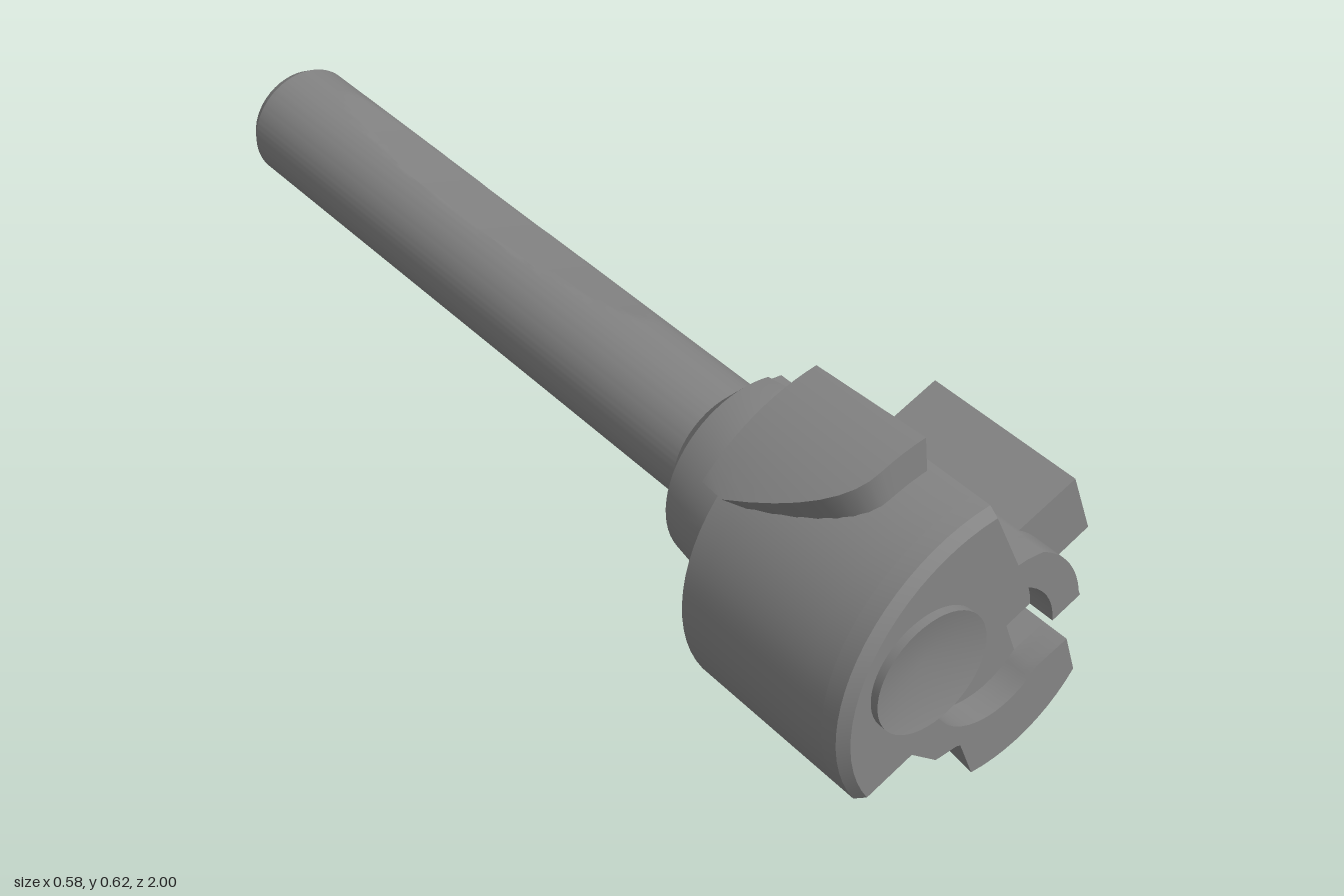
import * as THREE from 'three';
import { toCreasedNormals } from 'three/addons/utils/BufferGeometryUtils.js';

const CX = 0.017, CY = 0.243; // tool axis
const RAD = Math.PI / 180;
const mat = new THREE.MeshStandardMaterial({ color: 0x848484, side: THREE.DoubleSide });

// points on an arc, angles in degrees
function arc(r, a0, a1, n, cx = CX, cy = CY) {
  const pts = [];
  for (let i = 0; i <= n; i++) {
    const a = (a0 + (a1 - a0) * i / n) * RAD;
    pts.push([cx + r * Math.cos(a), cy + r * Math.sin(a)]);
  }
  return pts;
}

// move vertices by rule(radius, angle in degrees, z) -> [radius, angle, z] about the tool axis
function reshape(geo, rule) {
  const p = geo.attributes.position;
  for (let i = 0; i < p.count; i++) {
    const x = p.getX(i) - CX, y = p.getY(i) - CY;
    const [r, a, z] = rule(Math.hypot(x, y), Math.atan2(y, x) / RAD, p.getZ(i));
    p.setXYZ(i, CX + r * Math.cos(a * RAD), CY + r * Math.sin(a * RAD), z);
  }
  return geo;
}

function add(group, name, geo, crease = 0.5) {
  geo.deleteAttribute('normal');
  geo.deleteAttribute('uv');
  const mesh = new THREE.Mesh(toCreasedNormals(geo, crease), mat);
  mesh.name = name;
  group.add(mesh);
}

function prism(points, z0, z1, steps = 1) {
  const shape = new THREE.Shape(points.map(([x, y]) => new THREE.Vector2(x, y)));
  const geo = new THREE.ExtrudeGeometry(shape, { depth: z1 - z0, steps, bevelEnabled: false });
  return geo.translate(0, 0, z0);
}

// lathe profile of [radius, z], turned about an axis along z
function turned(profile, cx = CX, cy = CY) {
  const geo = new THREE.LatheGeometry(profile.map(([r, z]) => new THREE.Vector2(r, z)), 48);
  return geo.rotateX(Math.PI / 2).translate(cx, cy, 0);
}

// block bent round the tool axis; front(angle) gives its front z
function bentBlock(a0, a1, r0, r1, z0, front) {
  const geo = new THREE.BoxGeometry(1, 1, 1, 12, 1, 1);
  const p = geo.attributes.position;
  for (let i = 0; i < p.count; i++) {
    const a = a1 + (a0 - a1) * (p.getX(i) + 0.5);
    const back = p.getZ(i) < 0;
    const r = p.getY(i) < 0 ? r0 : back ? r1 - 0.015 : r1;
    p.setXYZ(i, CX + r * Math.cos(a * RAD), CY + r * Math.sin(a * RAD), back ? z0 : front(a));
  }
  return geo;
}

export function createModel() {
  const group = new THREE.Group();
  group.name = 'cuttingTool';

  // head outline from the slot's upper lip round to its lower lip
  const headOutline = [
    [0.208, 0.268], ...arc(0.19, 10, 61, 8), [0.075, 0.412], [0.055, 0.41],
    ...arc(0.307, 94, 212, 22),
    [-0.14, 0.125], [-0.085, 0.08], [-0.04, 0.083], [-0.032, 0.08],
    ...arc(0.243, 266, 325, 10), [0.19, 0.183], [0.125, 0.16],
  ];
  // lower lobe flares to the front, big lobe has a chamfered front edge
  const headRule = (r, a, z) => {
    if (a > -100 && a < -30 && r > 0.187) {
      r = 0.187 + (r - 0.187) * Math.max(0, (z - 0.6) / 0.385);
    }
    if (r > 0.28 && z > 0.98) r -= 0.015;
    return [r, a, z];
  };
  add(group, 'headBody', reshape(prism([...headOutline, [0.1, 0.225]], 0.6, 0.935, 8), headRule));

  // front rim, open around the central recess and the side button
  const bx = -0.127, by = 0.302;
  const recess = [
    ...arc(0.128, 322, 200.3, 14, 0.022, 0.238),
    ...arc(0.112, 284.9, 28.7, 24, bx, by),
    ...arc(0.128, 113.3, 3, 14, 0.022, 0.238),
  ];
  add(group, 'headRim', reshape(prism([...headOutline, ...recess.slice(1)], 0.935, 0.985, 3), headRule));

  // shallow dished button in the front face
  add(group, 'frontButton', turned([[0.112, 0.93], [0.112, 1], [0.001, 0.975]], bx, by));

  // neck with the slot, a flute above it and a clearance cut below, tapering to the shank
  const neck = [
    [0.203, 0.268], [0.145, 0.255], [0.08, 0.41], [0.055, 0.41],
    ...arc(0.187, 79, 237, 30), [-0.04, 0.083], ...arc(0.187, 259, 341, 16),
    [0.125, 0.16], [0.1, 0.225],
  ];
  add(group, 'neck', reshape(prism(neck, 0.35, 0.6, 5), (r, a, z) => {
    const rMax = z < 0.36 ? 0.125 : z < 0.41 ? 0.18 : 1;
    if (r > rMax) {
      r = rMax;
      // keep the lower lip on the slot wall
      if (a > -68 && a < 0) a = Math.min(a, 21 - Math.asin(0.116 / r) / RAD);
    }
    return [r, a, z];
  }));

  // side cutting block with a chamfered lower front edge
  add(group, 'sideBlade', prism([
    [0.115, 0.4], [0.1, 0.36], [0.15, 0.27], [0.199, 0.29], [0.284, 0.325], [0.238, 0.447],
  ], 0.6, 0.92));
  add(group, 'sideBladeEdge', reshape(prism([
    [0.208, 0.268], [0.293, 0.303], [0.284, 0.325], [0.199, 0.29],
  ], 0.6, 0.92), (r, a, z) => [r, a, z > 0.9 && a < 13 ? 0.9 : z]));

  // upper cutting block, its front edge swept back along the arc
  add(group, 'upperBlade', bentBlock(97.3, 139, 0.28, 0.376, 0.6,
    (a) => 0.85 - 0.19 * Math.pow(Math.max(0, (a - 112) / 27), 2)));

  // shank with a long shallow scoop, a flat pocket and a narrow groove
  const R = 0.114;
  const shank = new THREE.CylinderGeometry(R, R, 1.34, 120, 110, true);
  shank.rotateX(Math.PI / 2).translate(CX, CY, -0.31);
  const flat = (r, a, a0, d) => {
    const c = Math.cos((a - a0) * RAD);
    return c > 0.3 ? Math.min(r, d / c) : r;
  };
  add(group, 'shank', reshape(shank, (r, a, z) => {
    const t = (z + 0.395) / 0.475;
    if (Math.abs(t) < 1) r = flat(r, a, 72, R - 0.023 * (1 - t * t));
    const end = Math.max(0, (Math.abs(z + 0.55) - 0.3) / 0.05);
    if (end < 1) r = flat(r, a, -32, 0.088 + 0.026 * end * end);
    if (Math.abs(a) < 5) r = Math.min(r, 0.102);
    return [r, a, z];
  }));

  // closed front of the shank, chamfered rear end with centre hole
  add(group, 'shankFront', turned([[R, 0.36], [0.001, 0.36]]));
  add(group, 'shankEnd', turned([
    [R, -0.98], [0.103, -1], [0.075, -1], [0.058, -0.97], [0.058, -0.92], [0.001, -0.92],
  ]));
  return group;
}
